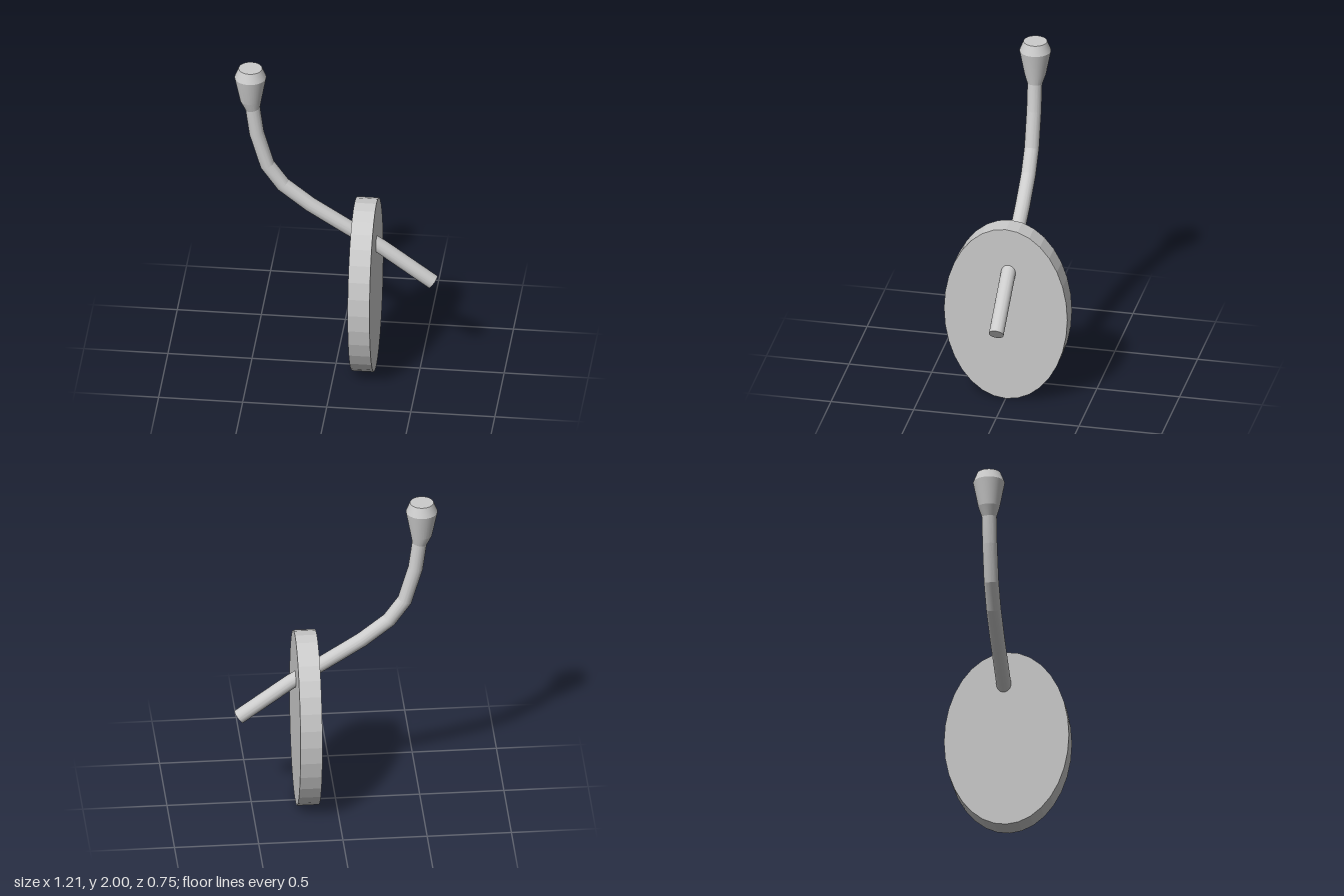
import * as THREE from 'three';
import { toCreasedNormals } from 'three/addons/utils/BufferGeometryUtils.js';

const SIDES = 36;
const Z = -0.016;

// Sweep a circle of varying radius along a path in the xy plane, mitred at each bend.
// stations: [x, y, radius]; tilt: optional start and end directions of the end rings
function sweep(stations, startDir, endDir) {
  const pts = stations.map(([x, y]) => new THREE.Vector2(x, y));
  const pos = [];
  const idx = [];
  const last = pts.length - 1;
  pts.forEach((p, i) => {
    const before = i > 0 ? p.clone().sub(pts[i - 1]).normalize() : null;
    const after = i < last ? pts[i + 1].clone().sub(p).normalize() : null;
    let dir = before && after ? before.clone().add(after).normalize() : before || after;
    if (i === 0 && startDir) dir = startDir;
    if (i === last && endDir) dir = endDir;
    const r = stations[i][2];
    for (let j = 0; j < SIDES; j++) {
      const a = (j / SIDES) * Math.PI * 2;
      const u = Math.cos(a) * r;
      pos.push(p.x - dir.y * u, p.y + dir.x * u, Z + Math.sin(a) * r);
    }
  });
  for (let i = 0; i < last; i++) {
    for (let j = 0; j < SIDES; j++) {
      const k = (j + 1) % SIDES;
      const a = i * SIDES + j, b = i * SIDES + k;
      idx.push(a, b, a + SIDES, b, b + SIDES, a + SIDES);
    }
  }
  // End caps as fans
  const e = last * SIDES;
  for (let j = 1; j < SIDES - 1; j++) {
    idx.push(0, j + 1, j);
    idx.push(e, e + j, e + j + 1);
  }
  const geo = new THREE.BufferGeometry();
  geo.setAttribute('position', new THREE.Float32BufferAttribute(pos, 3));
  geo.setIndex(idx);
  return toCreasedNormals(geo, 0.2);
}

export function createModel() {
  const group = new THREE.Group();
  const material = new THREE.MeshStandardMaterial({ color: 0xcccccc });
  const flat = new THREE.MeshStandardMaterial({ color: 0xcccccc, flatShading: true });
  const add = (name, geo, mat) => {
    const mesh = new THREE.Mesh(geo, mat);
    mesh.name = name;
    group.add(mesh);
    return mesh;
  };

  // Oval mounting plate, axis along x
  const plateGeo = new THREE.CylinderGeometry(1, 1, 0.13, 32);
  plateGeo.rotateZ(Math.PI / 2);
  plateGeo.scale(1, 0.56, 0.373);
  plateGeo.translate(0.175, 0.56, 0);
  add('mountingPlate', plateGeo, flat);

  // Bent rod passing through the plate and rising to the knob
  const r = 0.044;
  const neckDir = new THREE.Vector2(-0.2, 1).normalize();
  add('bentRod', sweep([
    [0.575, 0.593, r], [0.27, 0.815, r], [0.06, 0.945, r], [-0.156, 1.082, r],
    [-0.317, 1.209, r], [-0.41, 1.34, r], [-0.474, 1.556, r], [-0.497, 1.725, r],
  ], null, neckDir), material);

  // Flared knob at the tip
  add('knob', sweep([
    [-0.497, 1.725, r], [-0.508, 1.785, 0.064], [-0.511, 1.94, 0.094], [-0.511, 2.0, 0.07],
  ], neckDir, new THREE.Vector2(0, 1)), material);

  return group;
}
